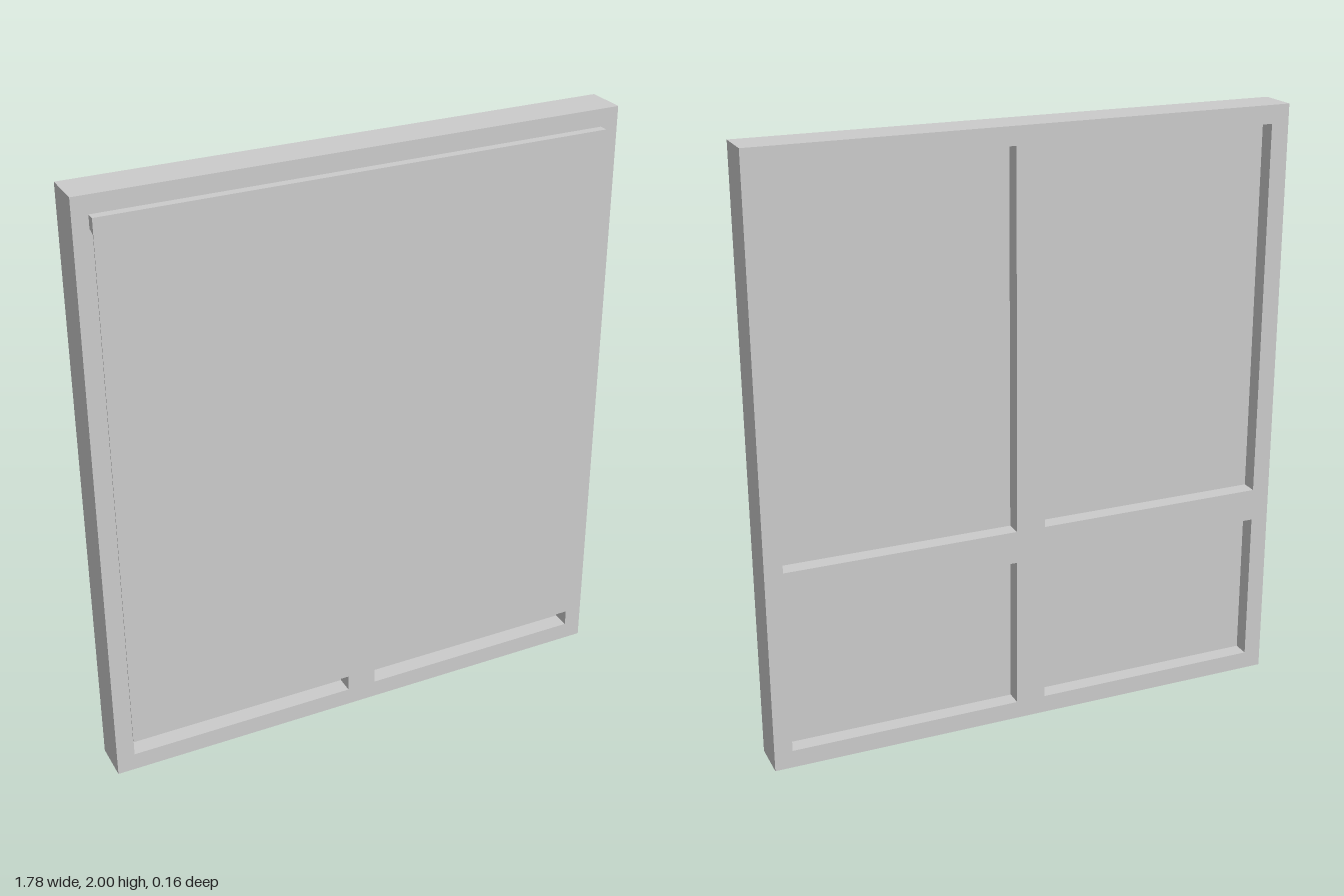
import * as THREE from 'three';

const W = 0.89, H = 2, BACK = -0.08, FRONT = 0.055;
const RIM = 0.06, MULLION = 0.05, TRANSOM_LOW = 0.575, TRANSOM_HIGH = 0.685;

export function createModel() {
  const model = new THREE.Group();
  model.name = 'windowWithBlind';
  const grey = new THREE.MeshStandardMaterial({ color: 0xcccccc });
  grey.name = 'light grey';

  const add = (name, geometry, x = 0, y = 0, z = 0) => {
    const mesh = new THREE.Mesh(geometry, grey);
    mesh.name = name;
    mesh.position.set(x, y, z);
    model.add(mesh);
  };

  // Frame outline with four openings left between mullion and transom
  const outline = new THREE.Shape([
    new THREE.Vector2(-W, 0), new THREE.Vector2(W, 0),
    new THREE.Vector2(W, H), new THREE.Vector2(-W, H),
  ]);
  const rows = [[RIM, TRANSOM_LOW], [TRANSOM_HIGH, H - RIM]];
  const paneWidth = W - RIM - MULLION;
  for (const side of [-1, 1]) {
    for (const [low, high] of rows) {
      const x0 = side * MULLION, x1 = side * (W - RIM);
      outline.holes.push(new THREE.Path([
        new THREE.Vector2(x0, low), new THREE.Vector2(x0, high),
        new THREE.Vector2(x1, high), new THREE.Vector2(x1, low),
      ]));
      // Glass pane set midway in the frame depth
      add('glassPane', new THREE.BoxGeometry(paneWidth, high - low, 0.02),
        (x0 + x1) / 2, (low + high) / 2, -0.015);
    }
  }
  add('frame', new THREE.ExtrudeGeometry(outline, { depth: FRONT - BACK, bevelEnabled: false }), 0, 0, BACK);

  // Blind: head rail fixed to the frame, with a thin sheet hanging from it
  const blindWidth = 1.67, blindX = -0.005;
  const rail = new THREE.Shape([
    new THREE.Vector2(-0.055, 1.9), new THREE.Vector2(-0.055, 1.942),
    new THREE.Vector2(-0.085, 1.942), new THREE.Vector2(-0.085, 1.89),
  ]);
  const railGeometry = new THREE.ExtrudeGeometry(rail, { depth: blindWidth, bevelEnabled: false });
  railGeometry.translate(0, 0, -blindWidth / 2).rotateY(Math.PI / 2);
  add('blindHeadRail', railGeometry, blindX);
  add('blindSheet', new THREE.BoxGeometry(blindWidth, 1.76, 0.003), blindX, 1.02, 0.0835);

  return model;
}
